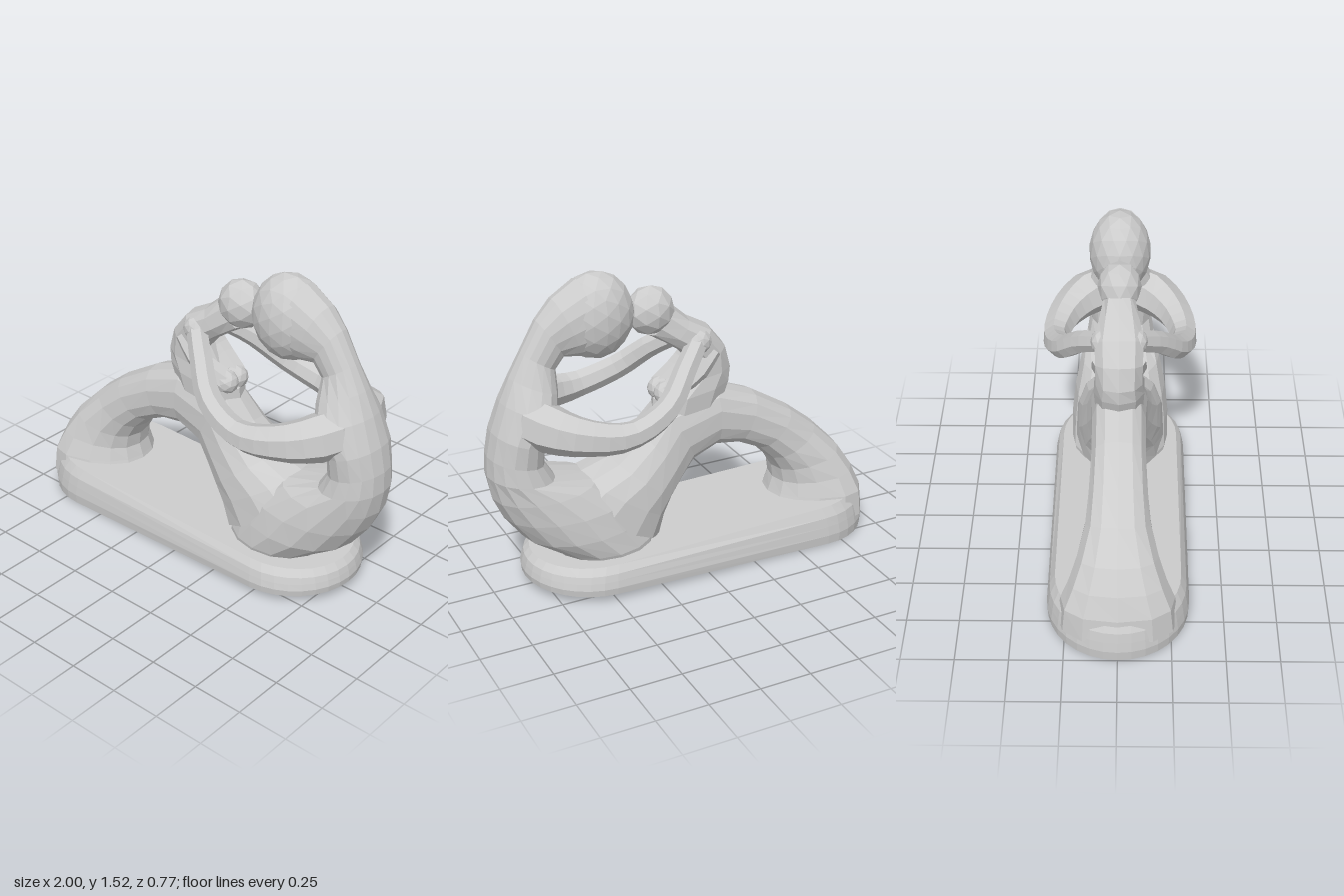
import * as THREE from 'three';

const material = new THREE.MeshStandardMaterial({ color: 0xcccccc, flatShading: true });

function add(parent, name, geometry) {
  const mesh = new THREE.Mesh(geometry, material);
  mesh.name = name;
  parent.add(mesh);
  return mesh;
}

// Closed loft through rounded sections; each is [x1, y1, x2, y2, halfDepth, taper],
// the two ends of the section in the side profile, its half depth in z and
// how much deeper it is towards the first end.
function loft(sections, sides = 14, power = 0.85) {
  const pos = [], index = [];
  const round = v => Math.sign(v) * Math.abs(v) ** power;
  for (const [x1, y1, x2, y2, d, taper = 0] of sections) {
    for (let j = 0; j < sides; j++) {
      const a = j / sides * Math.PI * 2, c = round(Math.cos(a)) / 2, s = round(Math.sin(a));
      pos.push((x1 + x2) / 2 + (x1 - x2) * c, (y1 + y2) / 2 + (y1 - y2) * c, d * s * (1 + taper * c));
    }
  }
  const n = sections.length, start = n * sides, end = start + 1;
  for (const [x1, y1, x2, y2] of [sections[0], sections[n - 1]]) pos.push((x1 + x2) / 2, (y1 + y2) / 2, 0);
  for (let j = 0; j < sides; j++) {
    const k = (j + 1) % sides, last = (n - 1) * sides;
    for (let i = 0; i < n - 1; i++) {
      const a = i * sides + j, b = i * sides + k;
      index.push(a, b, a + sides, b, b + sides, a + sides);
    }
    index.push(start, k, j, end, last + j, last + k);
  }
  const g = new THREE.BufferGeometry();
  g.setAttribute('position', new THREE.Float32BufferAttribute(pos, 3));
  g.setIndex(index);
  g.computeVertexNormals();
  return g;
}

// Tapered tube through points [x, y, z, radius]; side mirrors it in z.
function limb(points, side, segments = 12, sides = 7) {
  const curve = new THREE.CatmullRomCurve3(points.map(([x, y, z]) => new THREE.Vector3(x, y, z * side)));
  const g = new THREE.TubeGeometry(curve, segments, 1, sides);
  const p = g.attributes.position, v = new THREE.Vector3();
  for (let i = 0; i <= segments; i++) {
    const centre = curve.getPointAt(i / segments);
    const t = i / segments * (points.length - 1), k = Math.min(Math.floor(t), points.length - 2);
    const r = THREE.MathUtils.lerp(points[k][3], points[k + 1][3], t - k);
    for (let j = 0; j <= sides; j++) {
      const id = i * (sides + 1) + j;
      v.fromBufferAttribute(p, id).sub(centre).multiplyScalar(r).add(centre);
      p.setXYZ(id, v.x, v.y, v.z);
    }
  }
  g.computeVertexNormals();
  return g;
}

function ball(parent, name, [x, y, z], [rx, ry, rz], detail = 2) {
  const mesh = add(parent, name, new THREE.IcosahedronGeometry(1, detail).scale(rx, ry, rz));
  mesh.position.set(x, y, z);
}

// Slab with round ends, narrowing upwards, with a slightly sloping top and bottom
function baseGeometry() {
  const r = 0.338, left = -0.662, right = 0.502, middle = -0.08;
  const shape = new THREE.Shape();
  shape.absarc(right, 0, r, -Math.PI / 2, Math.PI / 2);
  shape.absarc(left, 0, r, Math.PI / 2, Math.PI * 1.5);
  const g = new THREE.ExtrudeGeometry(shape, { depth: 1, steps: 4, bevelEnabled: false, curveSegments: 8 });
  g.rotateX(-Math.PI / 2);
  const p = g.attributes.position, lerp = THREE.MathUtils.lerp;
  const inset = [0.01, 0, 0.02, 0.045, 0.12];
  for (let i = 0; i < p.count; i++) {
    const x = p.getX(i), h = p.getY(i), t = (x + 1) / 1.84, f = inset[Math.round(h * 4)];
    p.setXYZ(i,
      middle + (x - middle) * (1 - f * 0.4),
      lerp(lerp(0, 0.045, t), lerp(0.205, 0.165, t), h),
      p.getZ(i) * (1 - f));
  }
  g.computeVertexNormals();
  return g;
}

export function createModel() {
  const model = new THREE.Group();
  model.name = 'embracingFigures';
  add(model, 'base', baseGeometry());

  const parent = new THREE.Group();
  parent.name = 'parentFigure';
  model.add(parent);

  // Legs arching from the foot of the base over to the lap
  add(parent, 'legs', loft([
    [-0.98, 0.08, -0.46, 0.1, 0.27, 0.5],
    [-0.965, 0.21, -0.5, 0.21, 0.25, 0.6],
    [-0.92, 0.32, -0.52, 0.27, 0.215, 0.5],
    [-0.85, 0.43, -0.51, 0.34, 0.185, 0.3],
    [-0.72, 0.56, -0.47, 0.41, 0.155],
    [-0.58, 0.67, -0.4, 0.48, 0.14],
    [-0.38, 0.79, -0.28, 0.535, 0.13],
    [-0.15, 0.88, -0.16, 0.55, 0.13],
    [0.13, 0.82, -0.04, 0.5, 0.14],
    [0.24, 0.7, 0.03, 0.42, 0.165],
    [0.39, 0.59, 0.09, 0.34, 0.195],
    [0.55, 0.54, 0.13, 0.26, 0.215],
    [0.7, 0.45, 0.16, 0.15, 0.23],
  ]));

  // Hips, curved back, neck and hair
  add(parent, 'torso', loft([
    [0.17, 0.12, 0.64, 0.12, 0.23],
    [0.19, 0.2, 0.7, 0.18, 0.25],
    [0.24, 0.31, 0.84, 0.27, 0.25],
    [0.3, 0.42, 0.93, 0.39, 0.235],
    [0.47, 0.53, 0.98, 0.5, 0.205],
    [0.68, 0.58, 1.0, 0.62, 0.175],
    [0.73, 0.66, 0.995, 0.72, 0.16],
    [0.73, 0.76, 0.97, 0.84, 0.17],
    [0.67, 0.9, 0.92, 0.98, 0.18, 0.4],
    [0.65, 1.0, 0.87, 1.09, 0.13, 0.4],
    [0.65, 1.1, 0.81, 1.2, 0.085],
    [0.61, 1.15, 0.73, 1.34, 0.09],
    [0.53, 1.14, 0.65, 1.43, 0.115],
    [0.45, 1.14, 0.53, 1.505, 0.13],
  ], 16, 0.95));
  ball(parent, 'head', [0.44, 1.318, 0], [0.185, 0.208, 0.15]);

  // Child seated on the lap
  const child = new THREE.Group();
  child.name = 'childFigure';
  model.add(child);
  add(child, 'childTorso', loft([
    [-0.21, 0.8, 0.16, 0.76, 0.12],
    [-0.245, 0.9, 0.15, 0.84, 0.125],
    [-0.245, 0.97, 0.02, 0.93, 0.115],
    [-0.21, 1.08, -0.03, 1.01, 0.115],
    [-0.13, 1.18, 0.02, 1.07, 0.12],
    [-0.02, 1.24, 0.09, 1.12, 0.1],
    [0.07, 1.32, 0.17, 1.17, 0.075],
  ], 10));
  ball(child, 'childHead', [0.163, 1.293, 0], [0.118, 0.12, 0.105], 1);

  for (const side of [1, -1]) {
    const tag = side > 0 ? 'left' : 'right';
    // Arm sweeping out from inside the shoulder and round the child
    add(parent, tag + 'Arm', limb([
      [0.8, 0.895, -0.02, 0.115],
      [0.765, 0.885, 0.14, 0.115],
      [0.63, 0.855, 0.265, 0.085],
      [0.42, 0.84, 0.322, 0.065],
      [0.21, 0.915, 0.28, 0.06],
      [0.07, 1.04, 0.18, 0.055],
      [-0.05, 1.125, 0.075, 0.05],
    ], side, 18));
    ball(parent, tag + 'Hand', [-0.05, 1.125, 0.085 * side], [0.065, 0.06, 0.05], 1);
    // Child's forearm and hand
    add(child, tag + 'ChildArm', limb([
      [-0.13, 1.07, 0.07, 0.055],
      [-0.03, 0.955, 0.075, 0.055],
      [0.1, 0.88, 0.04, 0.055],
    ], side, 5, 6));
    ball(child, tag + 'ChildHand', [0.1, 0.875, 0.035 * side], [0.06, 0.06, 0.06], 1);
  }
  return model;
}
